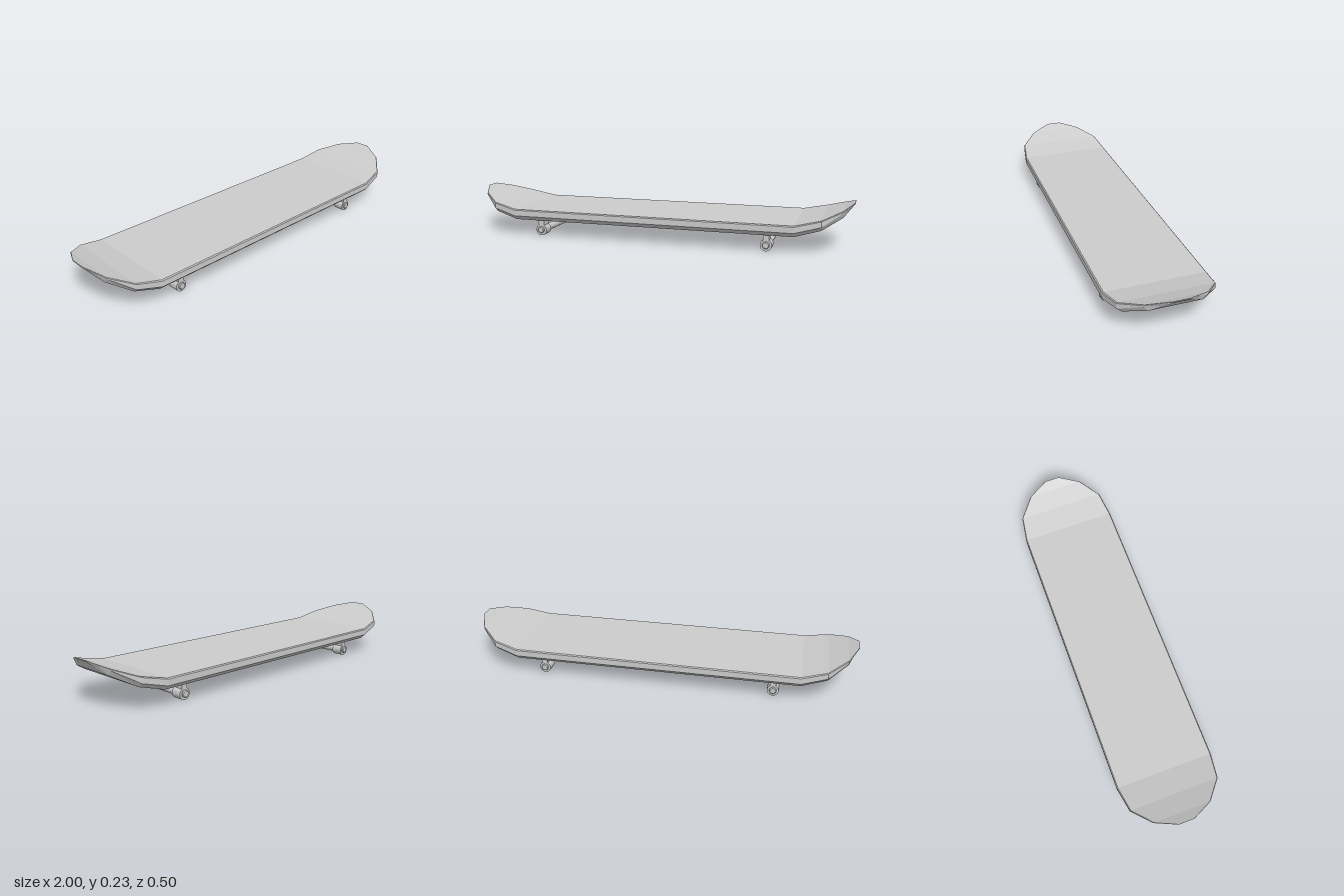
import * as THREE from 'three';

const grey = new THREE.MeshStandardMaterial({ color: 0xcccccc });
const greyFlat = new THREE.MeshStandardMaterial({ color: 0xcccccc, flatShading: true });

// Deck: bevelled cross-sections lofted along x, mirrored nose to tail
function makeDeck() {
  // x, top half-width, half-width, bottom half-width, then y of top, upper edge, lower edge, bottom
  const half = [
    [0.73, 0.245, 0.25, 0.226, 0.14, 0.135, 0.105, 0.083],
    [0.855, 0.226, 0.23, 0.206, 0.168, 0.164, 0.137, 0.117],
    [0.95, 0.143, 0.147, 0.125, 0.204, 0.2, 0.195, 0.17],
    [0.975, 0.091, 0.094, 0.068, 0.217, 0.214, 0.211, 0.197],
    [1.0, 0.038, 0.04, 0.039, 0.23, 0.229, 0.227, 0.225],
  ];
  const mirrored = half.map(([x, ...rest]) => [-x, ...rest]).reverse();
  const rings = [...mirrored, ...half].map(([x, t, w, b, yt, yu, yl, yb]) => [
    [x, yt, -t], [x, yt, t], [x, yu, w], [x, yl, w],
    [x, yb, b], [x, yb, -b], [x, yl, -w], [x, yu, -w],
  ]);
  const n = 8, index = [];
  for (let i = 0; i < rings.length - 1; i++) {
    for (let j = 0; j < n; j++) {
      const k = (j + 1) % n;
      const a = i * n + j, d = i * n + k, b = a + n, c = d + n;
      index.push(a, d, c, a, c, b);
    }
  }
  // End caps
  const last = (rings.length - 1) * n;
  for (let j = 1; j < n - 1; j++) {
    index.push(last, last + j, last + j + 1);
    index.push(0, j + 1, j);
  }
  const geo = new THREE.BufferGeometry();
  geo.setAttribute('position', new THREE.Float32BufferAttribute(rings.flat(2), 3));
  geo.setIndex(index);
  const flat = geo.toNonIndexed();
  flat.computeVertexNormals();
  const deck = new THREE.Mesh(flat, greyFlat);
  deck.name = 'deck';
  return deck;
}

const AXLE_Y = 0.029;

// Hanger bracket: a round axle collar with a stem up to the deck
function makeBracket(z) {
  const r = 0.029, s = 0.015, a = Math.acos(s / r);
  const shape = new THREE.Shape();
  shape.moveTo(-s, 0.065);
  shape.lineTo(-s, r * Math.sin(a));
  shape.absarc(0, 0, r, Math.PI - a, Math.PI * 2 + a, false);
  shape.lineTo(s, 0.065);
  shape.closePath();
  const depth = 0.056;
  const geo = new THREE.ExtrudeGeometry(shape, { depth, bevelEnabled: false, curveSegments: 24 });
  geo.translate(0, AXLE_Y, z - depth / 2);
  const bracket = new THREE.Mesh(geo, grey);
  bracket.name = 'bracket';
  return bracket;
}

// Axle: a rod with chamfered ends
function makeAxle() {
  const r = 0.018, c = 0.004, h = 0.214;
  const profile = [[0, -h], [r - c, -h], [r - c, -h], [r, -h + c], [r, -h + c],
    [r, h - c], [r, h - c], [r - c, h], [r - c, h], [0, h]];
  const geo = new THREE.LatheGeometry(profile.map(([x, y]) => new THREE.Vector2(x, y)), 32);
  geo.rotateX(Math.PI / 2);
  geo.translate(0, AXLE_Y + 0.001, 0.004);
  const axle = new THREE.Mesh(geo, grey);
  axle.name = 'axle';
  return axle;
}

export function createModel() {
  const board = new THREE.Group();
  board.name = 'skateboard';
  board.add(makeDeck());
  for (const side of [1, -1]) {
    const truck = new THREE.Group();
    truck.name = side > 0 ? 'leftTruck' : 'rightTruck';
    truck.add(makeAxle(), makeBracket(0.181), makeBracket(-0.173));
    truck.position.x = side * 0.597;
    board.add(truck);
  }
  return board;
}
